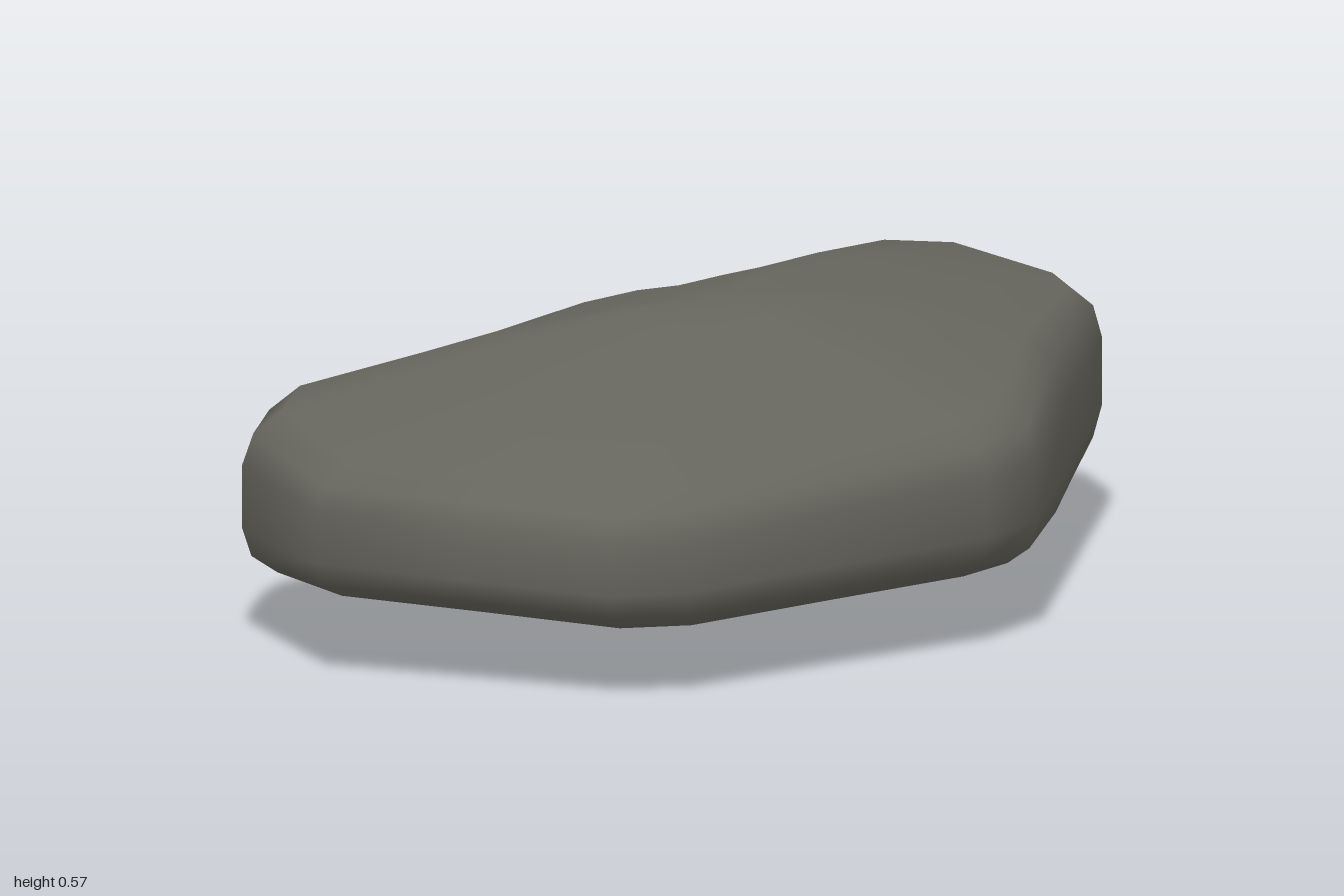
import * as THREE from 'three';

// Outline corners: x, z, lower shoulder height, upper shoulder height
const corners = [
  [-1, -0.13, 0.15, 0.395], [-0.82, -0.46, 0.12, 0.425], [-0.69, -0.535, 0.115, 0.44],
  [0.31, -0.655, 0.11, 0.43], [0.46, -0.595, 0.11, 0.43], [0.53, -0.46, 0.1, 0.47],
  [0.66, -0.405, 0.1, 0.48], [0.92, -0.38, 0.13, 0.485], [0.99, -0.26, 0.13, 0.485],
  [1, -0.01, 0.135, 0.46], [0.93, 0.1, 0.13, 0.46], [0.5, 0.385, 0.095, 0.475],
  [0.14, 0.625, 0.13, 0.43], [-0.03, 0.65, 0.135, 0.42], [-0.69, 0.5, 0.13, 0.385],
  [-0.8, 0.41, 0.13, 0.375],
];
const topCentre = new THREE.Vector3(0, 0.57, -0.02);
const bottomCentre = new THREE.Vector3(0.17, 0, -0.12);

// Rounded rim: inset from the outline, height between the shoulders
const rim = [[0.075, 0], [0.02, 0.12], [0, 0.3], [0, 0.68], [0.022, 0.87], [0.08, 1]];

// Split the long sides so the broad faces shade evenly
function splitOutline() {
  const out = [];
  corners.forEach((a, i) => {
    const b = corners[(i + 1) % corners.length];
    const n = Math.max(1, Math.round(Math.hypot(b[0] - a[0], b[1] - a[1]) / 0.3));
    for (let k = 0; k < n; k++) out.push(a.map((v, j) => v + (b[j] - v) * k / n));
  });
  return out;
}

function buildStone() {
  const outline = splitOutline();
  const n = outline.length;
  const rimPoint = ([x, z, low, high], [inset, t]) => {
    const centre = t < 0.5 ? bottomCentre : topCentre;
    const f = inset / Math.hypot(x - centre.x, z - centre.z);
    return new THREE.Vector3(x + (centre.x - x) * f, low + (high - low) * t, z + (centre.z - z) * f);
  };
  // Broad face ring, bulged slightly away from a straight cone
  const faceRing = (edge, centre, f, bulge) => outline.map((p) => {
    const v = rimPoint(p, edge).lerp(centre, f);
    v.y += bulge(p[0]);
    return v;
  });
  // The underside is fuller towards -x
  const under = (x) => 0.025 * Math.min(0, x);
  const over = () => 0.018;
  const first = rim[0], last = rim[rim.length - 1];
  const rings = [
    faceRing(first, bottomCentre, 0.75, under),
    faceRing(first, bottomCentre, 0.4, under),
    ...rim.map((r) => outline.map((p) => rimPoint(p, r))),
    faceRing(last, topCentre, 0.4, over),
    faceRing(last, topCentre, 0.78, over),
  ];
  const points = [...rings.flat(), bottomCentre, topCentre];
  const bottom = points.length - 2, top = points.length - 1;
  const index = [];
  for (let i = 0; i < n; i++) {
    const j = (i + 1) % n;
    for (let r = 0; r < rings.length - 1; r++) {
      const a = r * n + i, b = r * n + j, c = a + n, d = b + n;
      index.push(a, c, b, b, c, d);
    }
    const t = (rings.length - 1) * n;
    index.push(bottom, i, j, top, t + j, t + i);
  }
  const geometry = new THREE.BufferGeometry().setFromPoints(points);
  geometry.setIndex(index);
  geometry.computeVertexNormals();
  return geometry;
}

export function createModel() {
  const group = new THREE.Group();
  group.name = 'flatRock';
  const stone = new THREE.MeshStandardMaterial({ color: 0x66655d });
  stone.name = 'grey stone';
  const mesh = new THREE.Mesh(buildStone(), stone);
  mesh.name = 'stone';
  group.add(mesh);
  return group;
}
